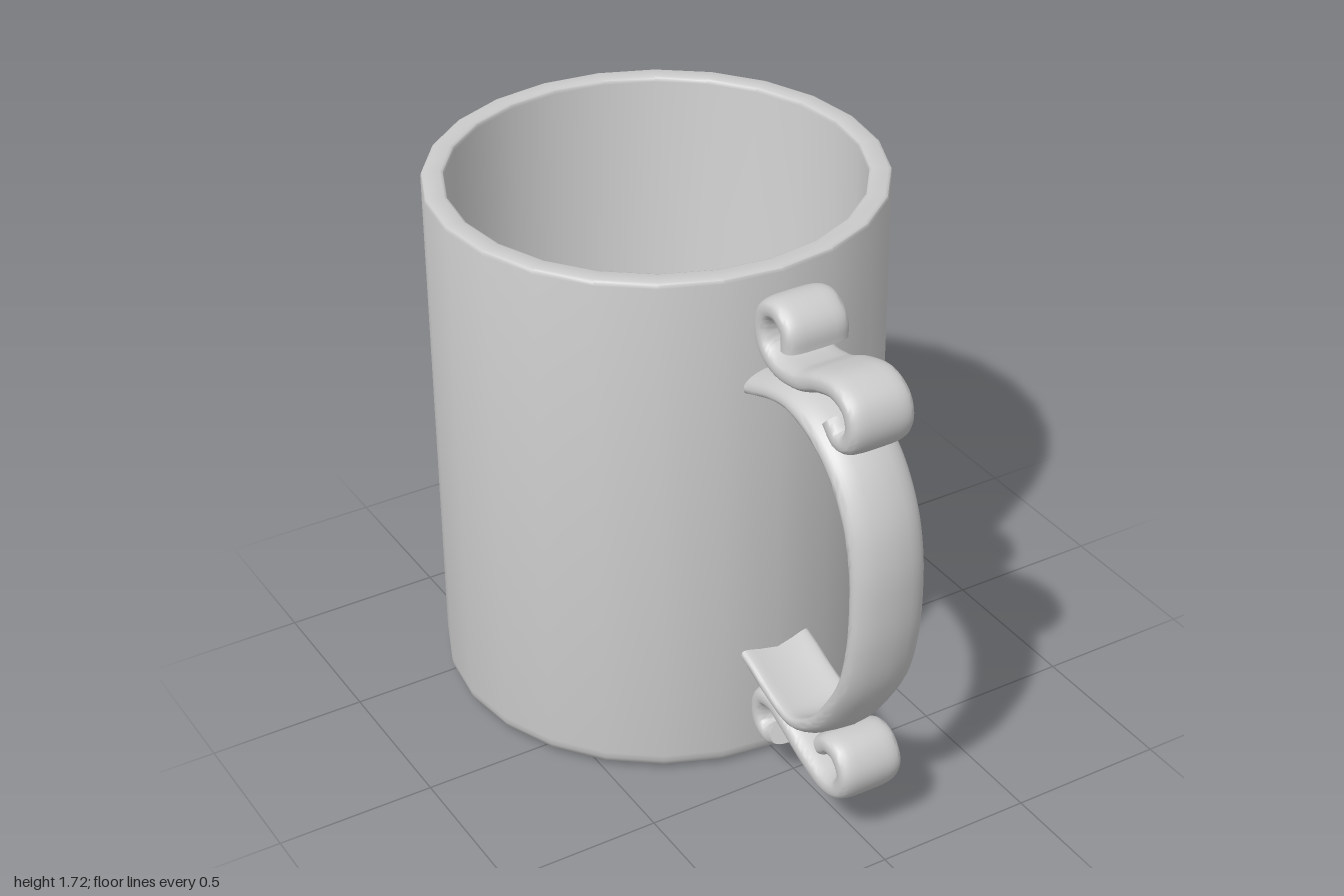
import * as THREE from 'three';
import { toCreasedNormals } from 'three/addons/utils/BufferGeometryUtils.js';

const material = new THREE.MeshStandardMaterial({ color: 0xcccccc });

// Rounded flat section: half width w, half thickness t, bowed outward by bow at its middle
function section(w, t, bow, count = 28) {
  const points = [];
  for (let i = 0; i < count; i++) {
    const a = (i / count) * Math.PI * 2;
    const c = Math.cos(a), s = Math.sin(a);
    const x = Math.sign(c) * Math.pow(Math.abs(c), 0.5);
    const n = Math.sign(s) * Math.pow(Math.abs(s), 0.7);
    points.push([x * w, n * t + bow * (0.5 - x * x)]);
  }
  return points;
}

// Sweep a section along a smooth [z, y] path, with flat end caps
function ribbon(name, path, profile, steps) {
  const curve = new THREE.CatmullRomCurve3(path.map(([z, y]) => new THREE.Vector3(0, y, z)));
  const n = profile.length;
  const positions = [], index = [];
  for (let i = 0; i <= steps; i++) {
    const p = curve.getPointAt(i / steps);
    const t = curve.getTangentAt(i / steps);
    for (const [x, d] of profile) positions.push(x, p.y + d * t.z, p.z - d * t.y);
  }
  for (let i = 0; i < steps; i++) {
    for (let j = 0; j < n; j++) {
      const a = i * n + j, b = i * n + (j + 1) % n;
      index.push(a, b, b + n, a, b + n, a + n);
    }
  }
  // Caps: strips joining the upper and lower halves of the section
  const last = steps * n;
  for (let j = 0; j < n / 2; j++) {
    const a = j, b = j + 1, c = (n - j - 1) % n, d = (n - j) % n;
    for (const [p, q, r] of [[a, b, c], [a, c, d]]) {
      if (p === q || q === r || p === r) continue;
      index.push(p, r, q, last + p, last + q, last + r);
    }
  }
  const geometry = new THREE.BufferGeometry();
  geometry.setAttribute('position', new THREE.Float32BufferAttribute(positions, 3));
  geometry.setIndex(index);
  const mesh = new THREE.Mesh(toCreasedNormals(geometry, 1.0), material);
  mesh.name = name;
  return mesh;
}

export function createModel() {
  const group = new THREE.Group();
  group.name = 'mug';

  // Hollow cup with a rounded foot and softened rim
  const profile = [
    [0, 0], [0.64, 0], [0.665, 0.005], [0.688, 0.02], [0.698, 0.04], [0.7, 0.06],
    [0.7, 1.705], [0.697, 1.716], [0.688, 1.72],
    [0.642, 1.72], [0.633, 1.716], [0.63, 1.705],
    [0.63, 0.15], [0.615, 0.11], [0.57, 0.085], [0.4, 0.075], [0, 0.07],
  ].map(([r, y]) => new THREE.Vector2(r, y));
  const cup = new THREE.Mesh(toCreasedNormals(new THREE.LatheGeometry(profile, 24), 0.9), material);
  cup.name = 'cup';
  cup.position.z = -0.3;
  group.add(cup);

  // Main handle loop, both ends sunk into the cup wall
  group.add(ribbon('handle', [
    [0.365, 1.355], [0.43, 1.38], [0.52, 1.41], [0.61, 1.42], [0.73, 1.387], [0.84, 1.307],
    [0.92, 1.18], [0.955, 1.05], [0.963, 0.915], [0.955, 0.78], [0.92, 0.63],
    [0.85, 0.5], [0.76, 0.385], [0.64, 0.316], [0.52, 0.34], [0.43, 0.378], [0.365, 0.4],
  ], section(0.12, 0.028, 0.024), 80));

  // Curled ornaments above and below the handle
  const scroll = section(0.105, 0.036, 0);
  const upper = ribbon('upperScroll', [
    [0.57, 1.56], [0.565, 1.617], [0.51, 1.655], [0.453, 1.634], [0.431, 1.575],
    [0.453, 1.516], [0.517, 1.484], [0.624, 1.494], [0.72, 1.537], [0.811, 1.556],
    [0.876, 1.527], [0.895, 1.473], [0.87, 1.419], [0.822, 1.409], [0.779, 1.446],
  ], scroll, 90);
  const lower = ribbon('lowerScroll', [
    [0.774, 0.316], [0.817, 0.348], [0.87, 0.343], [0.906, 0.289], [0.881, 0.225],
    [0.811, 0.198], [0.704, 0.225], [0.597, 0.273], [0.517, 0.303], [0.458, 0.289],
    [0.437, 0.236], [0.453, 0.187], [0.495, 0.171], [0.538, 0.193],
  ], scroll, 90);
  for (const mesh of [upper, lower]) {
    mesh.position.x = -0.005;
    group.add(mesh);
  }
  return group;
}
